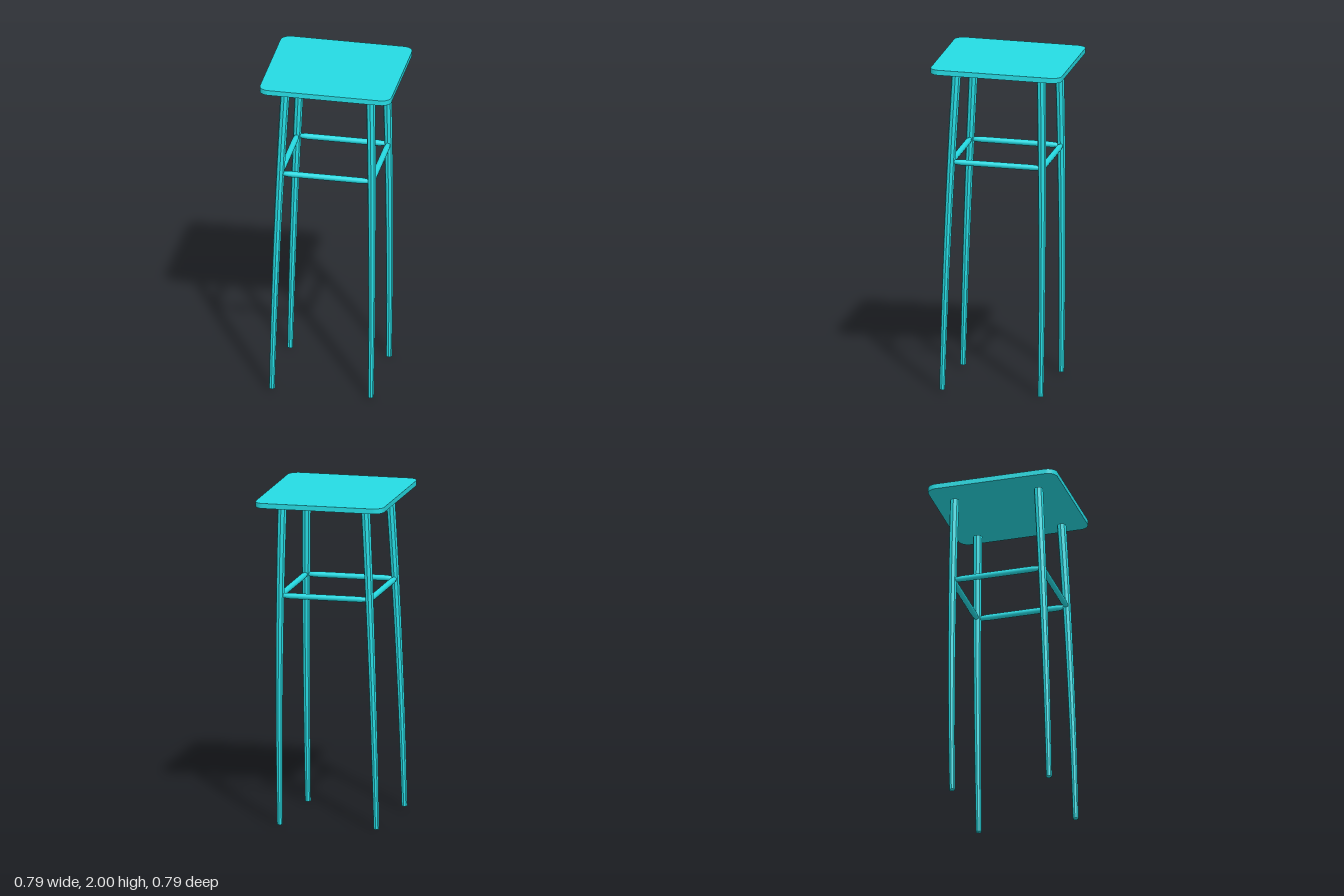
import * as THREE from 'three';

const material = new THREE.MeshStandardMaterial({ color: 0x25dbe3 });
const faceted = new THREE.MeshStandardMaterial({ color: 0x25dbe3, flatShading: true });

const LEG_HEIGHT = 1.92;
const RUNG_Y = 1.39;

// Distance of a leg's axis from the centre, in both x and z: legs curve inward as they rise
const legOffset = (y) => 0.2975 - 0.0041 * y - 0.0087 * y * y;

function addMesh(parent, name, geometry, mat) {
  const mesh = new THREE.Mesh(geometry, mat);
  mesh.name = name;
  parent.add(mesh);
  return mesh;
}

// Thin square board with rounded corners
function seatGeometry(half, radius, thickness) {
  const s = new THREE.Shape();
  const c = half - radius;
  s.absarc(c, c, radius, 0, Math.PI / 2);
  s.absarc(-c, c, radius, Math.PI / 2, Math.PI);
  s.absarc(-c, -c, radius, Math.PI, Math.PI * 1.5);
  s.absarc(c, -c, radius, Math.PI * 1.5, Math.PI * 2);
  s.closePath();
  const g = new THREE.ExtrudeGeometry(s, { depth: thickness, bevelEnabled: false, curveSegments: 8 });
  return g.rotateX(-Math.PI / 2);
}

// Tapered leg, splayed and bent along its height
function legGeometry(sx, sz) {
  const g = new THREE.CylinderGeometry(0.028, 0.0175, LEG_HEIGHT, 8, 10);
  g.translate(0, LEG_HEIGHT / 2, 0);
  const p = g.attributes.position;
  for (let i = 0; i < p.count; i++) {
    const d = legOffset(p.getY(i));
    p.setX(i, p.getX(i) + sx * d);
    p.setZ(i, p.getZ(i) + sz * d);
  }
  g.computeVertexNormals();
  return g;
}

// Round rung with slightly narrowed ends, lying along x
function rungGeometry(length) {
  const h = length / 2;
  const profile = [[0, -h], [0.013, -h], [0.018, -h + 0.05], [0.018, h - 0.05], [0.013, h], [0, h]];
  const g = new THREE.LatheGeometry(profile.map(([r, y]) => new THREE.Vector2(r, y)), 12);
  return g.rotateZ(Math.PI / 2);
}

export function createModel() {
  const model = new THREE.Group();
  model.name = 'stool';

  // The whole stool leans very slightly
  const stool = new THREE.Group();
  stool.name = 'leaningStool';
  stool.position.set(-0.026, 0.011, 0.044);
  stool.rotation.set(-0.022, 0, -0.013);
  model.add(stool);

  // Seat
  addMesh(stool, 'seat', seatGeometry(0.396, 0.06, 0.031), material).position.y = 1.945;

  // Legs
  for (const [zName, sz] of [['front', 1], ['back', -1]]) {
    for (const [xName, sx] of [['Left', 1], ['Right', -1]]) {
      addMesh(stool, `${zName}${xName}Leg`, legGeometry(sx, sz), faceted);
    }
  }

  // Four rungs joining neighbouring legs
  const d = legOffset(RUNG_Y);
  const rung = rungGeometry(2 * d - 0.02);
  ['frontRung', 'leftRung', 'backRung', 'rightRung'].forEach((name, i) => {
    const a = (i * Math.PI) / 2;
    const mesh = addMesh(stool, name, rung, material);
    mesh.position.set(Math.sin(a) * d, RUNG_Y, Math.cos(a) * d);
    mesh.rotation.y = a;
  });

  return model;
}
